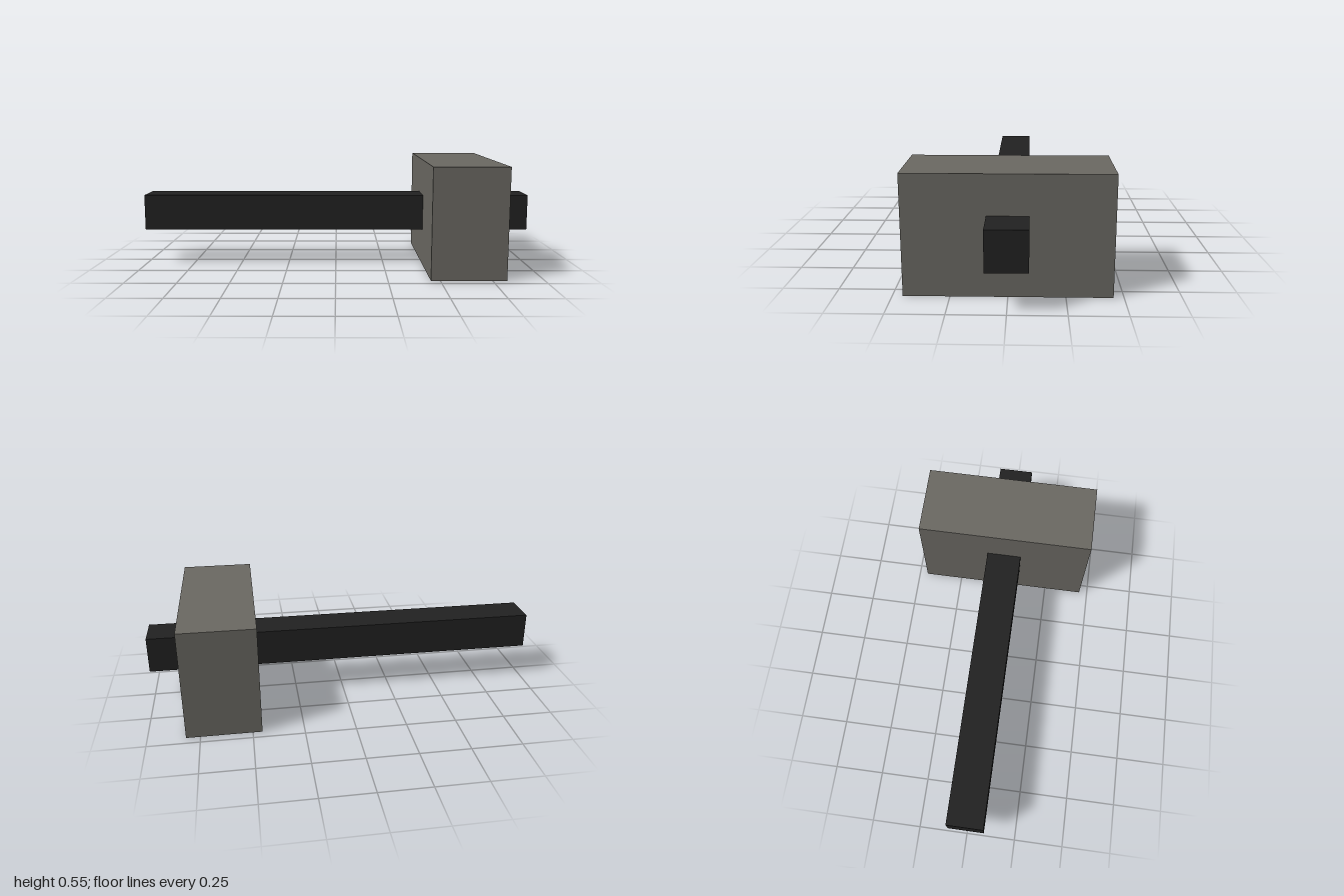
import * as THREE from 'three';

const U = 2 / 11; // handle thickness, the module all sizes follow

export function createModel() {
  const stone = new THREE.MeshStandardMaterial({ color: 0x6b6963 });
  stone.name = 'grey stone';
  const dark = new THREE.MeshStandardMaterial({ color: 0x222222 });
  dark.name = 'dark handle';

  const model = new THREE.Group();
  model.name = 'hammer';

  const addBox = (name, material, size, position) => {
    const mesh = new THREE.Mesh(new THREE.BoxGeometry(...size), material);
    mesh.name = name;
    mesh.position.set(...position);
    model.add(mesh);
  };

  // Square handle running the full length, through the head
  addBox('handle', dark, [2, U, U], [0, 1.5 * U, 0]);
  // Block head near the left end
  addBox('head', stone, [2 * U, 3 * U, 5 * U], [3.5 * U, 1.5 * U, 0]);

  return model;
}
